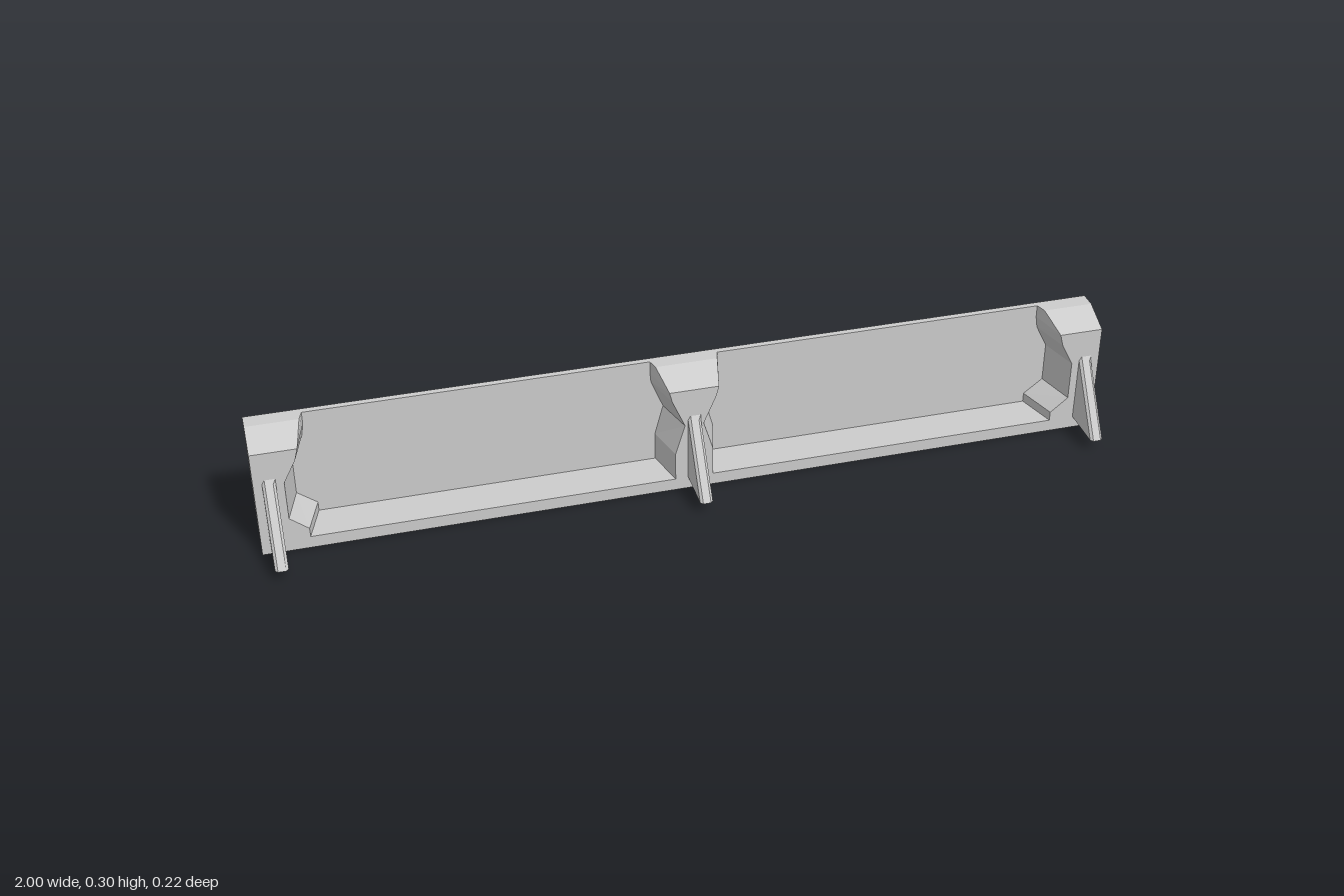
import * as THREE from 'three';

const material = new THREE.MeshStandardMaterial({ color: 0xcccccc, flatShading: true });

function addMesh(group, name, geometry, x = 0, y = 0, z = 0) {
  const mesh = new THREE.Mesh(geometry, material);
  mesh.name = name;
  mesh.position.set(x, y, z);
  group.add(mesh);
}

// Skins a stack of equal-length rings (counterclockwise from above), with flat caps.
function loft(rings) {
  const points = [];
  const tri = (a, b, c) => points.push(...a, ...b, ...c);
  const n = rings[0].length;
  for (let k = 0; k < rings.length - 1; k++) {
    const low = rings[k], high = rings[k + 1];
    for (let i = 0; i < n; i++) {
      const j = (i + 1) % n;
      tri(low[i], low[j], high[j]);
      tri(low[i], high[j], high[i]);
    }
  }
  const bottom = rings[0], top = rings[rings.length - 1];
  for (let i = 1; i < n - 1; i++) {
    tri(bottom[0], bottom[i + 1], bottom[i]);
    tri(top[0], top[i], top[i + 1]);
  }
  const geometry = new THREE.BufferGeometry();
  geometry.setAttribute('position', new THREE.Float32BufferAttribute(points, 3));
  geometry.computeVertexNormals();
  return geometry;
}

const BACK = -0.11, WALL = -0.095, LEDGE = 0.03, HEIGHT = 0.3, GUSSET_X = 0.965;

// Pillar levels: height, front z, x of the inner edge at the back and at the front
const middleLevels = [
  [LEDGE, 0, 0.07, 0.045],
  [0.1, 0, 0.07, 0.045],
  [0.175, 0, 0.05, 0.022],
  [0.245, 0, 0.078, 0.052],
  [0.27, 0, 0.08, 0.058],
  [HEIGHT, -0.07, 0.08, 0.073],
];
const endLevels = [
  [LEDGE, 0, 0.86, 0.89],
  [0.053, 0, 0.86, 0.89],
  [0.088, 0, 0.905, 0.932],
  [0.185, 0, 0.905, 0.932],
  [0.24, 0, 0.877, 0.903],
  [0.27, 0, 0.872, 0.895],
  [HEIGHT, -0.07, 0.872, 0.88],
];

const middlePillar = () => loft(middleLevels.map(([y, z, b, f]) =>
  [[-b, y, WALL], [-f, y, z], [f, y, z], [b, y, WALL]]));

const endPillar = (side) => loft(endLevels.map(([y, z, b, f]) => side > 0
  ? [[b, y, WALL], [f, y, z], [1, y, z], [1, y, WALL]]
  : [[-1, y, WALL], [-1, y, z], [-f, y, z], [-b, y, WALL]]));

// Triangular brace with chamfered sloping edge: height, side z, ridge z
const gusset = () => loft([[LEDGE, 0.106, 0.112], [0.19, 0, 0.0066], [0.2, 0, 0]].map(([y, s, r]) =>
  [[-0.015, y, 0], [-0.015, y, s], [-0.009, y, r], [0.009, y, r], [0.015, y, s], [0.015, y, 0]]));

export function createModel() {
  const group = new THREE.Group();
  group.name = 'bracedWallTrough';

  // Back wall and bottom ledge
  const thickness = WALL - BACK;
  addMesh(group, 'backWall', new THREE.BoxGeometry(2, HEIGHT, thickness),
    0, HEIGHT / 2, BACK + thickness / 2);
  addMesh(group, 'bottomLedge', new THREE.BoxGeometry(2, LEDGE, -WALL), 0, LEDGE / 2, WALL / 2);

  // Waisted pillars
  addMesh(group, 'middlePillar', middlePillar());
  addMesh(group, 'leftPillar', endPillar(1));
  addMesh(group, 'rightPillar', endPillar(-1));

  // Front braces
  addMesh(group, 'middleGusset', gusset());
  addMesh(group, 'leftGusset', gusset(), GUSSET_X);
  addMesh(group, 'rightGusset', gusset(), -GUSSET_X);

  return group;
}
